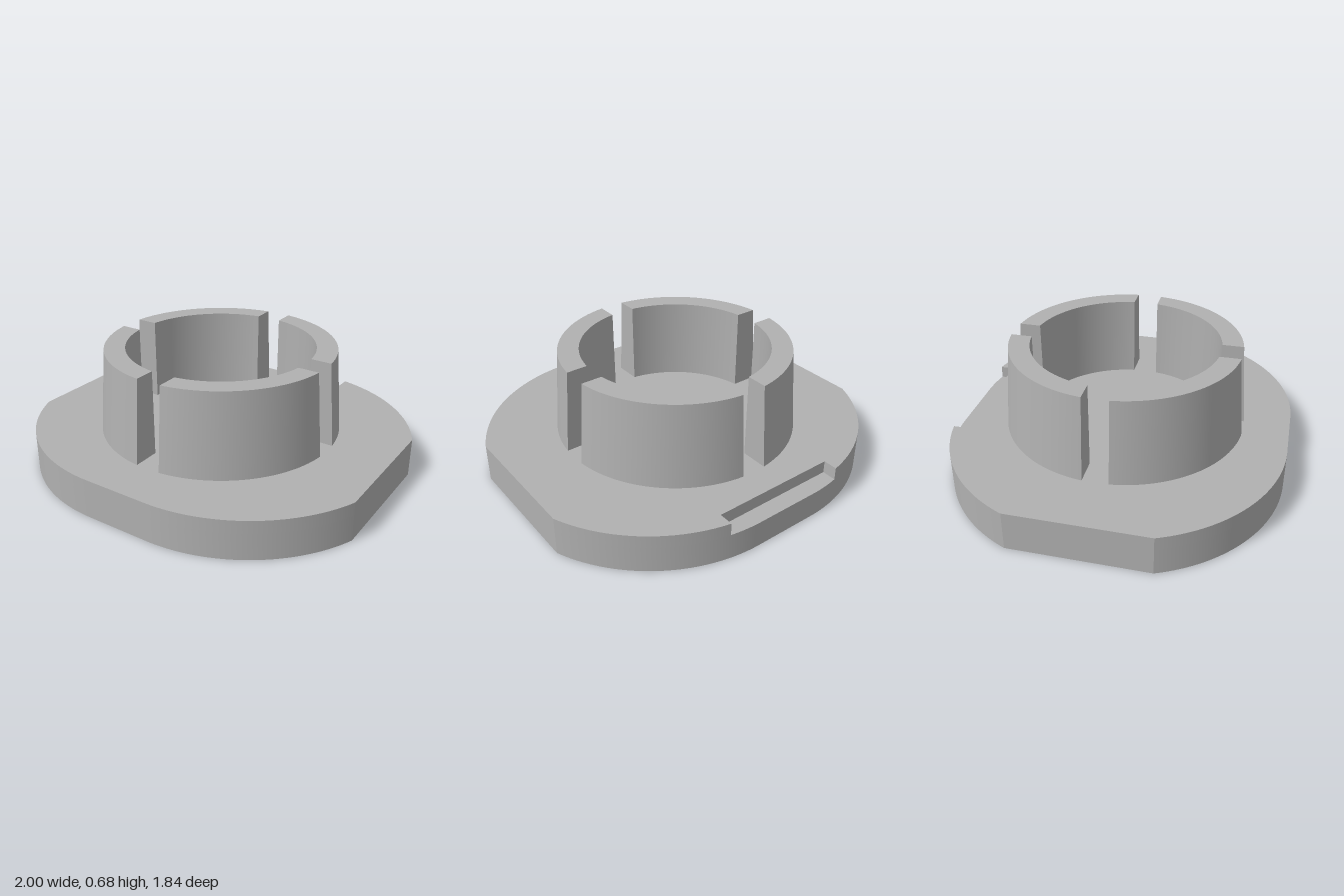
import * as THREE from 'three';
import { toCreasedNormals } from 'three/addons/utils/BufferGeometryUtils.js';

const FLANGE_TOP = 0.215, LEDGE = 0.145, RING_TOP = 0.68, SLOT = 0.07;

// Flange outline: four large corner arcs joined by straight flats.
// With a notch, the back arcs stop early and the edge steps inwards.
function flangeOutline(notched) {
  const cx = 0.18, cy = 0.034, r = 0.886, half = 0.355;
  const a = Math.atan2(0.336, 0.82);
  const end = notched ? Math.acos((half - cx) / r) : Math.PI / 2;
  const s = new THREE.Shape();
  s.absarc(cx, cy, r, a, end, false);
  if (notched) {
    s.lineTo(half, 0.825);
    s.lineTo(-half, 0.825);
  }
  s.absarc(-cx, cy, r, Math.PI - end, Math.PI - a, false);
  s.absarc(-cx, -cy, r, Math.PI + a, Math.PI * 1.5, false);
  s.absarc(cx, -cy, r, Math.PI * 1.5, Math.PI * 2 - a, false);
  return s;
}

function slab(notched, y0, y1) {
  const g = new THREE.ExtrudeGeometry(flangeOutline(notched), {
    depth: y1 - y0, bevelEnabled: false, curveSegments: 28,
  });
  g.rotateX(-Math.PI / 2);
  g.translate(0, y0, 0);
  return toCreasedNormals(g, 0.3);
}

// Quarter of the tapered ring, with end faces parallel to the slots.
function ringQuarter() {
  const profile = [[0.52, FLANGE_TOP], [0.67, FLANGE_TOP], [0.635, RING_TOP], [0.52, RING_TOP]];
  const steps = 28, pos = [], index = [];
  for (let i = 0; i <= steps; i++) {
    for (const [r, y] of profile) {
      const margin = Math.asin(SLOT / r);
      const t = margin + (Math.PI / 2 - 2 * margin) * i / steps;
      pos.push(r * Math.cos(t), y, r * Math.sin(t));
    }
  }
  for (let i = 0; i < steps; i++) {
    // outer wall, rim and bore
    for (let k = 1; k < 4; k++) {
      const a = i * 4 + k, b = i * 4 + (k + 1) % 4, c = a + 4, d = b + 4;
      index.push(a, b, c, b, d, c);
    }
  }
  const e = steps * 4;
  index.push(0, 3, 2, 0, 2, 1, e, e + 1, e + 2, e, e + 2, e + 3);
  const g = new THREE.BufferGeometry();
  g.setAttribute('position', new THREE.Float32BufferAttribute(pos, 3));
  g.setIndex(index);
  return toCreasedNormals(g, 0.5);
}

export function createModel() {
  const model = new THREE.Group();
  model.name = 'flangedPlug';
  const grey = new THREE.MeshStandardMaterial({ color: 0xb0b0b0 });
  grey.name = 'grey';

  const add = (name, geometry) => {
    const mesh = new THREE.Mesh(geometry, grey);
    mesh.name = name;
    model.add(mesh);
    return mesh;
  };

  // Flange in two layers, the upper one notched at the back
  add('flangeBase', slab(false, 0, LEDGE));
  add('flangeNotchedTop', slab(true, LEDGE, FLANGE_TOP));

  // Four ring quarters separated by crossing slots
  const quarter = ringQuarter();
  for (let i = 0; i < 4; i++) {
    add('ringQuarter' + (i + 1), quarter).rotation.y = i * Math.PI / 2;
  }
  return model;
}
